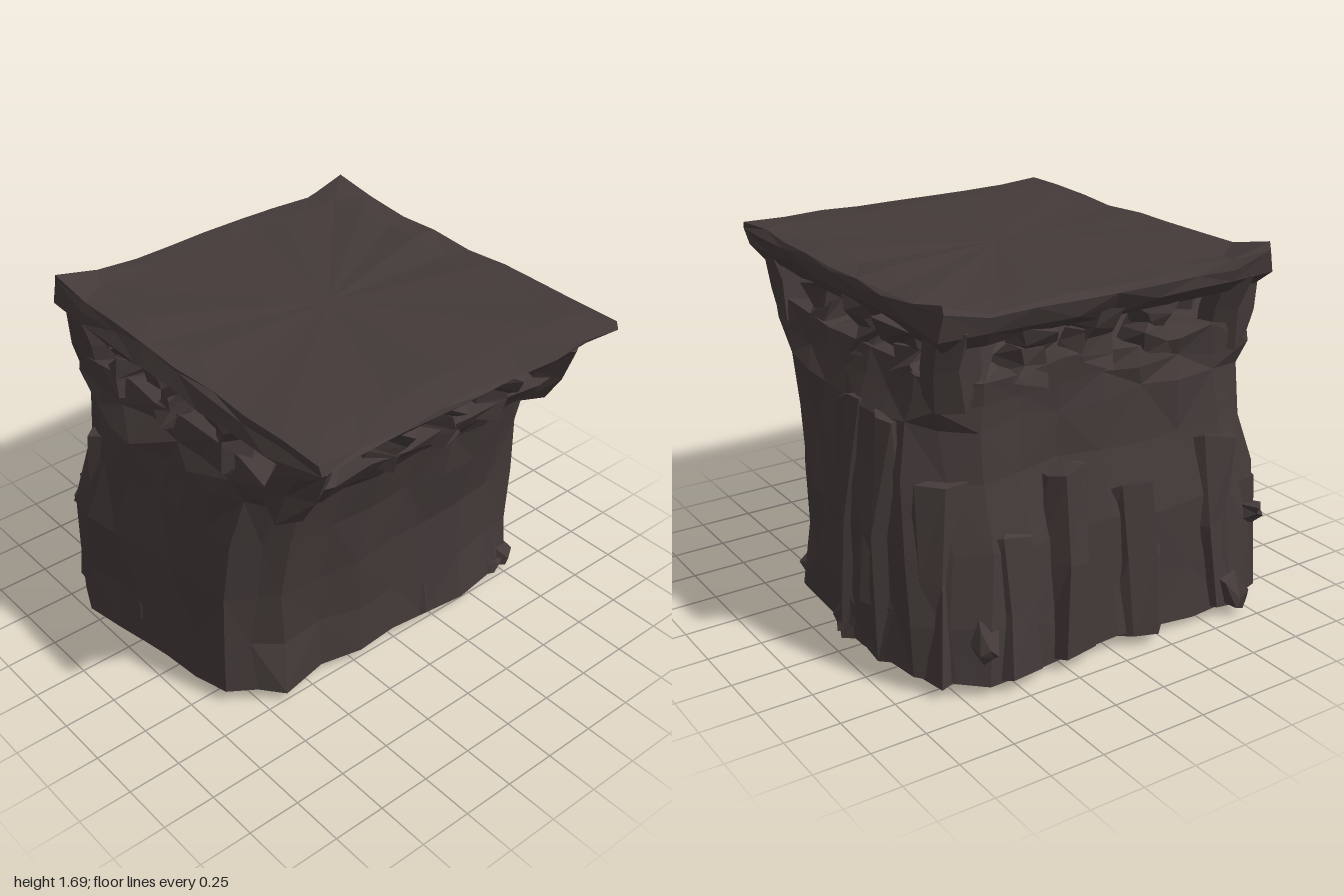
import * as THREE from 'three';

const rock = new THREE.MeshStandardMaterial({ color: 0x433a39, flatShading: true, side: THREE.DoubleSide });
rock.name = 'darkRock';

// repeatable noise from -1 to 1
const noise = (a, b, c, k) => {
  const s = Math.sin(a * 127.1 + b * 311.7 + c * 74.7 + k * 53.3) * 43758.5453;
  return (s - Math.floor(s)) * 2 - 1;
};
const round = (v) => Math.round(v * 1000) / 1000 + 0;

// shifts every corner by noise, keeping shared corners together
function roughen(geo, amount, seed = 1) {
  const p = geo.attributes.position;
  for (let i = 0; i < p.count; i++) {
    const [x, y, z] = [p.getX(i), p.getY(i), p.getZ(i)].map(round);
    p.setXYZ(i, x + amount * noise(x, y, z, seed), y + amount * noise(x, y, z, seed + 1), z + amount * noise(x, y, z, seed + 2));
  }
  geo.computeVertexNormals();
  return geo;
}

function add(group, name, geo) {
  const m = new THREE.Mesh(geo, rock);
  m.name = name;
  group.add(m);
  return m;
}

// four-sided ring; bulge swells the flanks, ridge makes vertical slabs,
// cut bevels the corners and draws in the front of the -x flank
const N = 8;
function ring({ y, l, r, b, f, bulge = 0, ridge = 0, peak = 0, cut = 0 }) {
  const pts = [];
  for (let s = 0; s < 4; s++) {
    for (let i = 0; i < N; i++) {
      const t = i / N;
      const o = i ? ridge * noise(s, i, 0, 4) : 0;
      const w = bulge * Math.sin(Math.PI * Math.pow(t, s === 1 ? 1.36 : 0.65));
      let x = [l + (r - l) * t, r + w + o, r + (l - r) * t, l - w - o + cut * 0.08 * t ** 3][s];
      let z = [f + o, f + (b - f) * t, b - o, b + (f - b) * t][s];
      if (i === 0) {
        const c = cut * [0.1, 0.05, 0.07, 0.03][s];
        x -= Math.sign(x) * c;
        z -= Math.sign(z) * c;
      }
      // back corners rise into horns
      const lift = s > 1 && i === 0 ? peak : 0;
      pts.push([x, y + lift, z]);
    }
  }
  return pts;
}

function loft(rings) {
  const n = rings[0].length, pos = rings.flat(2), index = [];
  for (let j = 0; j < rings.length - 1; j++) {
    for (let i = 0; i < n; i++) {
      const a = j * n + i, b = j * n + (i + 1) % n;
      if ((i + j) % 2) index.push(a, b, b + n, a, b + n, a + n);
      else index.push(a, b, a + n, b, b + n, a + n);
    }
  }
  const cap = (base, up) => {
    const c = pos.length / 3, pts = rings[base];
    pos.push(...[0, 1, 2].map((k) => pts.reduce((s, p) => s + p[k], 0) / n));
    for (let i = 0; i < n; i++) {
      const a = base * n + i, b = base * n + (i + 1) % n;
      index.push(...(up ? [a, b, c] : [b, a, c]));
    }
  };
  cap(0, false);
  cap(rings.length - 1, true);
  const g = new THREE.BufferGeometry();
  g.setAttribute('position', new THREE.Float32BufferAttribute(pos, 3));
  g.setIndex(index);
  return g;
}

// faceted boulder or column between two points
function chunk(group, name, from, to, r0, r1, seed, sides = 6, rough = 0.25) {
  const a = new THREE.Vector3(...from), d = new THREE.Vector3(...to).sub(a);
  const g = new THREE.CylinderGeometry(r1, r0, d.length(), sides, 2);
  roughen(g, Math.min(r0, r1) * rough, seed);
  const m = add(group, name, g);
  m.position.copy(a).addScaledVector(d, 0.5);
  m.quaternion.setFromUnitVectors(new THREE.Vector3(0, 1, 0), d.normalize());
}

export function createModel() {
  const model = new THREE.Group();
  model.name = 'rockShrine';

  // solid body with flared parapet, flat on top
  add(model, 'rockBody', roughen(loft([
    { y: 0.05, l: -0.86, r: 0.83, b: -0.89, f: 0.5, bulge: 0.11, ridge: 0.03, cut: 1 },
    { y: 0.3, l: -0.85, r: 0.82, b: -0.87, f: 0.49, bulge: 0.11, ridge: 0.035, cut: 1 },
    { y: 0.6, l: -0.85, r: 0.81, b: -0.84, f: 0.5, bulge: 0.1, ridge: 0.035, cut: 1 },
    { y: 0.9, l: -0.83, r: 0.8, b: -0.78, f: 0.55, bulge: 0.08, ridge: 0.03, cut: 1 },
    { y: 1.12, l: -0.82, r: 0.79, b: -0.75, f: 0.61, bulge: 0.06, ridge: 0.025, cut: 1 },
    { y: 1.22, l: -0.82, r: 0.78, b: -0.75, f: 0.71, cut: 0.6 },
    { y: 1.33, l: -0.81, r: 0.76, b: -0.76, f: 0.78, cut: 0.2 },
    { y: 1.34, l: -0.5, r: 0.47, b: -0.48, f: 0.48 },
  ].map(ring)), 0.02));

  // overhanging roof slab
  add(model, 'roofSlab', roughen(loft([
    { y: 1.47, l: -0.6, r: 0.56, b: -0.56, f: 0.62 },
    { y: 1.48, l: -0.82, r: 0.76, b: -0.77, f: 0.82 },
    { y: 1.54, l: -0.87, r: 0.8, b: -0.82, f: 0.91 },
    { y: 1.6, l: -0.85, r: 0.8, b: -0.84, f: 0.975, peak: 0.06 },
    { y: 1.625, l: -0.84, r: 0.79, b: -0.82, f: 0.965, peak: 0.06 },
    { y: 1.63, l: -0.7, r: 0.66, b: -0.7, f: 0.8 },
  ].map(ring)), 0.012, 5));

  // corner posts
  for (const x of [-0.72, 0.67]) {
    chunk(model, 'frontCornerPost', [x, 1.22, 0.62], [x, 1.55, 0.78], 0.12, 0.12, 3, 6, 0.15);
    chunk(model, 'backCornerPost', [x, 1.22, -0.66], [x * 1.04, 1.57, -0.71], 0.11, 0.11, 6, 6, 0.15);
  }

  // stubby pillars in the openings, wide at both ends
  const pillar = (x, z, dx, dz, s) => {
    chunk(model, 'pillarFoot', [x, 1.27, z], [x + dx * 0.4, 1.42, z + dz * 0.4], 0.12, 0.08, s, 5, 0.35);
    chunk(model, 'pillarHead', [x + dx * 0.4, 1.39, z + dz * 0.4], [x + dx, 1.51, z + dz], 0.08, 0.14, s + 3, 5, 0.35);
  };
  [-0.31, 0, 0.32].forEach((x, i) => {
    pillar(x, 0.67, 0.03, 0.08, 11 + i);
    pillar(x + 0.02, -0.67, -0.04, -0.01, 21 + i);
  });
  [0.31, -0.09, -0.43].forEach((z, i) => {
    pillar(0.67, z, 0.01, 0.02, 31 + i);
    pillar(-0.72, z, -0.01, -0.02, 41 + i);
  });

  // broad slabs half sunk into the walls: x, z, bottom, top, radius
  const slabs = [
    [0.8, -0.45, 0.05, 1.13, 0.15], [0.81, -0.17, 0.05, 1.12, 0.14], [0.76, 0.12, 0.05, 0.8, 0.15],
    [0.68, 0.35, 0.04, 0.74, 0.13], [0.74, -0.68, 0.04, 0.9, 0.15],
    [-0.82, -0.55, 0.06, 1.0, 0.15], [-0.78, -0.22, 0.07, 1.12, 0.14], [-0.77, 0.04, 0.06, 0.8, 0.14],
    [-0.78, -0.74, 0.05, 0.6, 0.16],
    [-0.62, -0.77, 0.05, 0.85, 0.17], [-0.15, -0.79, 0.05, 0.72, 0.17], [0.2, -0.79, 0.05, 0.88, 0.16],
    [0.48, -0.79, 0.04, 0.66, 0.16], [0.18, 0.42, 0.05, 0.95, 0.11],
  ];
  slabs.forEach(([x, z, y0, y1, r], i) => {
    chunk(model, 'wallSlab', [x, y0, z], [x * 0.97, y1, z * 0.96], r, r * 0.75, 50 + i * 3, 7, 0.22);
  });

  // blunt crystals around the foot: x, y, z, then tip x, y, z
  [[0.66, 0.14, 0.36, 0.8, 0.05, 0.47], [0.56, 0.12, 0.36, 0.72, 0.03, 0.47], [0.84, 0.16, -0.2, 0.94, 0.07, -0.15],
    [-0.84, 0.2, -0.25, -0.93, 0.08, -0.25], [-0.62, 0.15, -0.78, -0.69, 0.07, -0.97], [-0.8, 0.3, -0.55, -0.95, 0.32, -0.6],
    [0.6, 0.3, -0.78, 0.65, 0.2, -0.93], [-0.74, 0.4, -0.74, -0.83, 0.45, -0.88]].forEach(([x, y, z, ...tip], i) => {
    chunk(model, 'footCrystal', [x, y, z], tip, 0.12, 0.04, 120 + i, 5, 0.4);
  });
  return model;
}
